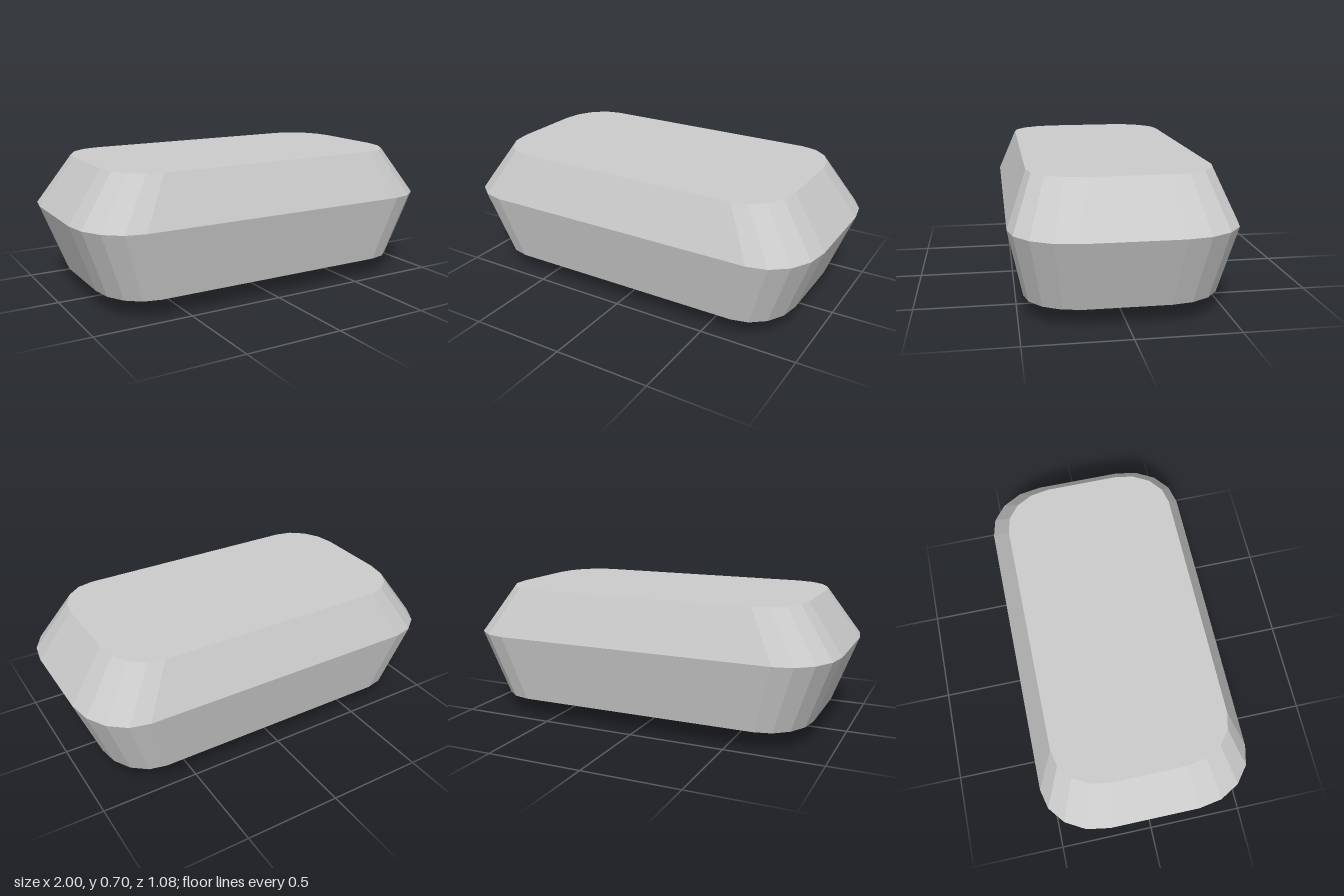
import * as THREE from 'three';

const CORNER_SEGMENTS = 4;

// Outline of the widest section: a rectangle with elliptical corners, running from +x towards +z.
function outline() {
  const straightX = 0.74, straightZ = 0.23, radiusX = 0.26, radiusZ = 0.31;
  const points = [];
  for (let corner = 0; corner < 4; corner++) {
    const signX = corner === 0 || corner === 3 ? 1 : -1;
    const signZ = corner < 2 ? 1 : -1;
    for (let i = 0; i <= CORNER_SEGMENTS; i++) {
      const a = (corner + i / CORNER_SEGMENTS) * Math.PI / 2;
      points.push([
        signX * straightX + Math.cos(a) * radiusX,
        signZ * straightZ + Math.sin(a) * radiusZ,
      ]);
    }
  }
  return points;
}

// Closed, faceted loft through scaled copies of the outline, listed bottom to top.
function loft(name, sections, material) {
  const shape = outline();
  const n = shape.length;
  const rings = sections.map(({ y, sx, sz }) =>
    shape.map(([x, z]) => [x * sx, y, z * sz]));
  const positions = [];
  const triangle = (a, b, c) => positions.push(...a, ...b, ...c);

  const bottom = [0, sections[0].y, 0];
  const top = [0, sections[sections.length - 1].y, 0];
  for (let i = 0; i < n; i++) {
    const j = (i + 1) % n;
    for (let k = 0; k < rings.length - 1; k++) {
      const low = rings[k], high = rings[k + 1];
      triangle(low[i], high[i], low[j]);
      triangle(high[i], high[j], low[j]);
    }
    triangle(bottom, rings[0][i], rings[0][j]);
    const last = rings[rings.length - 1];
    triangle(top, last[j], last[i]);
  }

  const geometry = new THREE.BufferGeometry();
  geometry.setAttribute('position', new THREE.Float32BufferAttribute(positions, 3));
  geometry.computeVertexNormals();
  const mesh = new THREE.Mesh(geometry, material);
  mesh.name = name;
  return mesh;
}

export function createModel() {
  const group = new THREE.Group();
  group.name = 'bevelledBlock';
  const material = new THREE.MeshStandardMaterial({ color: 0xcccccc, flatShading: true });

  // Main body: widest at the belt line, tapering up and down
  group.add(loft('body', [
    { y: 0.1, sx: 0.87, sz: 0.87 },
    { y: 0.45, sx: 1, sz: 1 },
    { y: 0.7, sx: 0.82, sz: 0.82 },
  ], material));

  // Small tapered foot, set slightly off centre
  const foot = loft('foot', [
    { y: 0, sx: 0.337, sz: 0.315 },
    { y: 0.1, sx: 0.405, sz: 0.378 },
  ], material);
  foot.position.x = -0.05;
  group.add(foot);

  return group;
}
